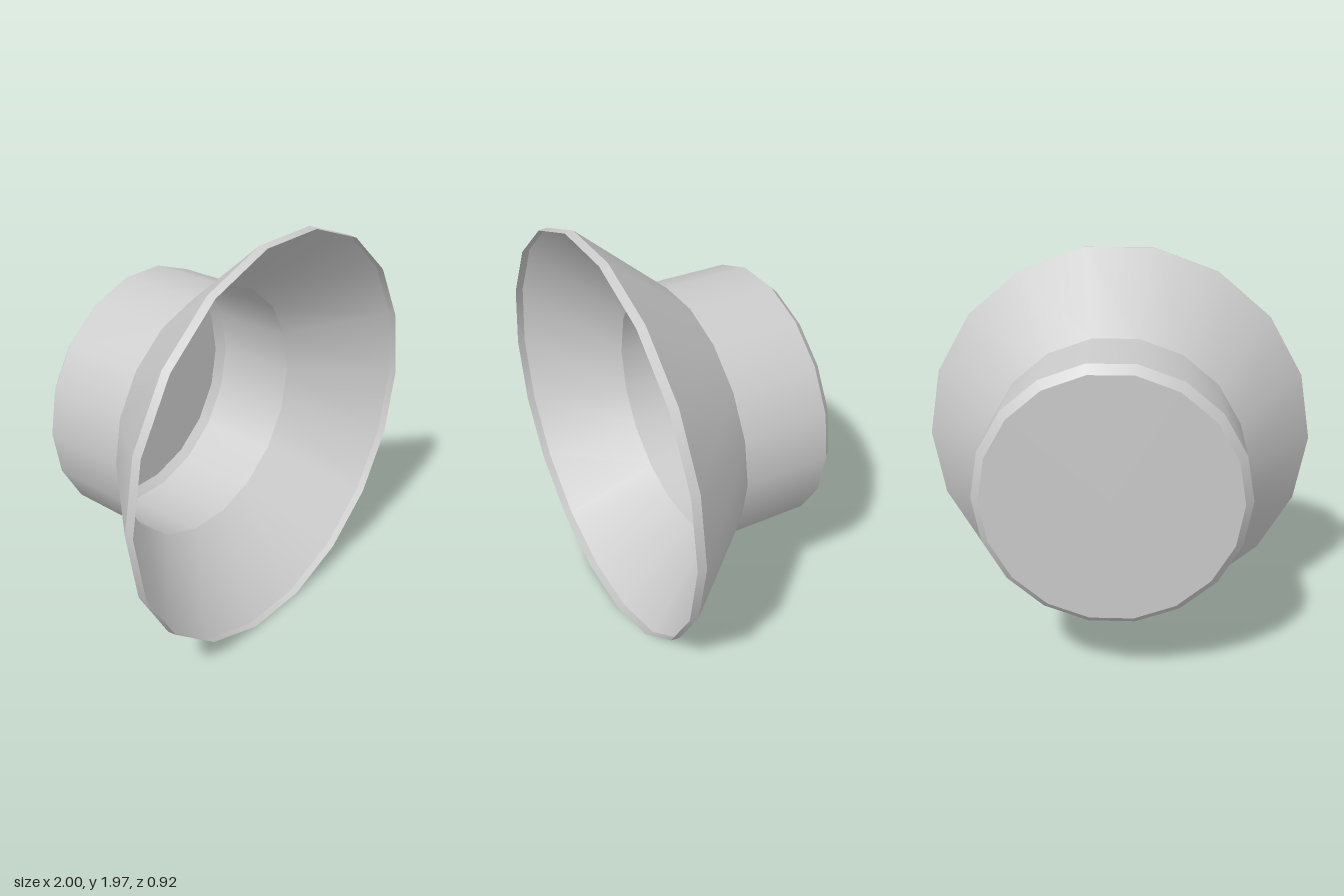
import * as THREE from 'three';

const SIDES = 18;

export function createModel() {
  const model = new THREE.Group();
  const material = new THREE.MeshStandardMaterial({ color: 0xcccccc, side: THREE.DoubleSide });

  const add = (name, geometry) => {
    const mesh = new THREE.Mesh(geometry, material);
    mesh.name = name;
    model.add(mesh);
  };

  // Smooth ring between two [radius, z] stations, with a corner on the x axis
  const band = (name, from, to) => {
    const points = [from, to].map(([r, z]) => new THREE.Vector2(r, z));
    add(name, new THREE.LatheGeometry(points, SIDES, Math.PI / 2).rotateX(Math.PI / 2));
  };

  // Thin open shell from back to front; separate bands keep the edges sharp
  const profile = [[0.6, -0.46], [0.64, -0.42], [0.64, 0.005], [1, 0.42], [0.995, 0.46]];
  ['backBevel', 'neck', 'flare', 'rim'].forEach((name, i) => band(name, profile[i], profile[i + 1]));

  // Flat disc closing the back
  add('backPlate', new THREE.CircleGeometry(0.6, SIDES).rotateY(Math.PI).translate(0, 0, -0.46));

  // Rest the lowest flat side on the ground
  model.position.y = Math.cos(Math.PI / SIDES);
  return model;
}
